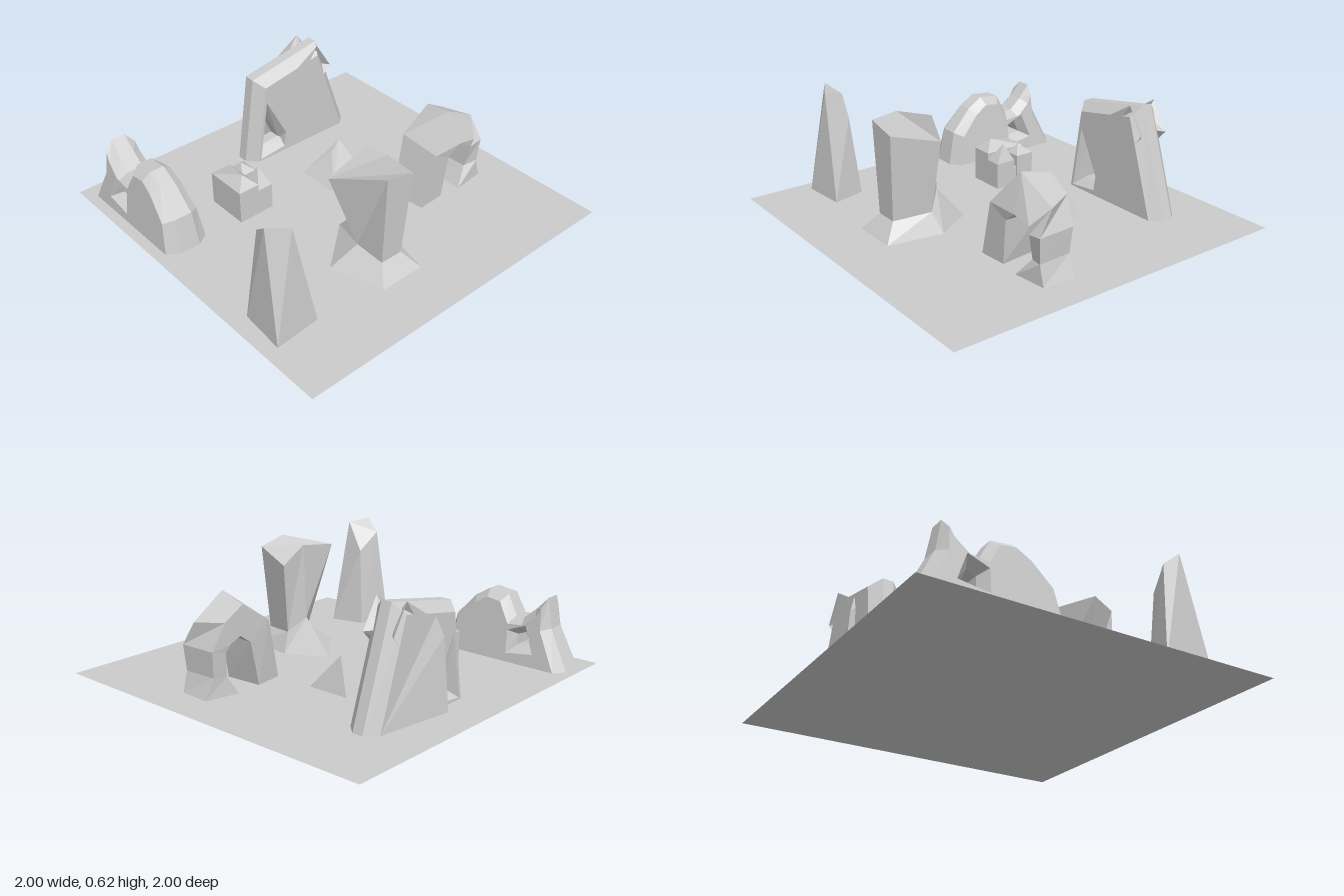
import * as THREE from 'three';
import { ConvexGeometry } from 'three/addons/geometries/ConvexGeometry.js';

const stone = new THREE.MeshStandardMaterial({ color: 0xcccccc, flatShading: true, side: THREE.DoubleSide });

function part(name, geometry) {
  const mesh = new THREE.Mesh(geometry, stone);
  mesh.name = name;
  return mesh;
}

// Faceted boulder wrapped around a few corner points
const hull = (name, pts) => part(name, new ConvexGeometry(pts.map((p) => new THREE.Vector3(...p))));

// Skin over a series of cross-section rings, closed at both ends
function loft(name, rings) {
  const n = rings[0].length, last = (rings.length - 1) * n, index = [];
  for (let i = 0; i < rings.length - 1; i++) {
    for (let j = 0; j < n; j++) {
      const a = i * n + j, b = i * n + (j + 1) % n;
      index.push(a, b, b + n, a, b + n, a + n);
    }
  }
  for (let j = 1; j < n - 1; j++) index.push(0, j + 1, j, last, last + j, last + j + 1);
  const g = new THREE.BufferGeometry();
  g.setAttribute('position', new THREE.Float32BufferAttribute(rings.flat(2), 3));
  g.setIndex(index);
  const flat = g.toNonIndexed();
  flat.computeVertexNormals();
  return part(name, flat);
}

// Bevelled slab, centred in depth, with holes and the foot cut flat at the ground
function slab(outline, holes, depth, bevel, inset) {
  const v = (list) => list.map((p) => new THREE.Vector2(...p));
  const shape = new THREE.Shape(v(outline));
  shape.holes = holes.map((h) => new THREE.Path(v(h)));
  const g = new THREE.ExtrudeGeometry(shape, {
    depth, bevelEnabled: true, bevelSegments: 1, bevelThickness: bevel, bevelSize: inset, bevelOffset: -inset,
  });
  g.translate(0, 0, -depth / 2);
  const p = g.attributes.position;
  for (let i = 0; i < p.count; i++) p.setY(i, Math.max(0, p.getY(i)));
  g.computeVertexNormals();
  return g;
}

export function createModel() {
  const root = new THREE.Group();
  root.name = 'rockField';

  root.add(part('ground', new THREE.PlaneGeometry(2, 2).rotateX(-Math.PI / 2)));

  // Tall narrow spire
  root.add(hull('spire', [
    [-0.9, 0, 0.4], [-0.71, 0, 0.45], [-0.66, 0, 0.64], [-0.92, 0, 0.66],
    [-0.885, 0.625, 0.55], [-0.775, 0.605, 0.61], [-0.86, 0.55, 0.46], [-0.74, 0.446, 0.49],
  ]));

  // Top-heavy pillar: skirt, waist, crown
  root.add(loft('pillar', [
    [[-0.37, 0, 0.4], [-0.28, 0, 0.7], [-0.02, 0, 0.7], [0.03, 0, 0.39], [-0.1, 0, 0.17]],
    [[-0.23, 0.11, 0.45], [-0.22, 0.09, 0.62], [-0.09, 0.09, 0.62], [-0.03, 0.11, 0.42], [-0.1, 0.2, 0.34]],
    [[-0.38, 0.565, 0.4], [-0.22, 0.61, 0.64], [-0.05, 0.57, 0.64], [0.025, 0.51, 0.39], [-0.1, 0.61, 0.36]],
  ]));

  // Arch with a pitched top; each ring is outer back, outer front, inner front, inner back
  root.add(loft('arch', [
    [[0.31, 0, 0.16], [0.33, 0, 0.36], [0.49, 0, 0.35], [0.47, 0, 0.14]],
    [[0.4, 0.34, 0.13], [0.41, 0.31, 0.37], [0.52, 0.25, 0.36], [0.53, 0.25, 0.13]],
    [[0.58, 0.46, 0.13], [0.56, 0.5, 0.3], [0.6, 0.31, 0.37], [0.6, 0.3, 0.13]],
    [[0.7, 0.39, 0.13], [0.77, 0.38, 0.28], [0.71, 0.29, 0.37], [0.67, 0.27, 0.13]],
    [[0.77, 0.25, 0.15], [0.78, 0.25, 0.36], [0.7, 0.24, 0.36], [0.69, 0.23, 0.14]],
    [[0.76, 0.11, 0.16], [0.77, 0.11, 0.35], [0.69, 0.1, 0.33], [0.68, 0.1, 0.15]],
    [[0.81, 0, 0.17], [0.8, 0, 0.35], [0.61, 0, 0.37], [0.62, 0, 0.13]],
  ]));

  // Large leaning wall with two openings and a buttress on each side
  const wall = new THREE.Group();
  wall.name = 'wallRock';
  const wallSlab = slab(
    [[-0.12, -0.06], [0.62, -0.06], [0.42, 0.595], [-0.04, 0.51]],
    [[[0, 0.06], [0.02, 0.3], [0.12, 0.07]], [[0.32, 0.43], [0.38, 0.53], [0.42, 0.45], [0.34, 0.35]]],
    0.06, 0.06, 0.05);
  wall.add(part('wallSlab', wallSlab.translate(0, 0, -0.66)));
  wall.add(hull('frontButtress', [
    [0.12, 0, -0.57], [0.56, 0, -0.57], [0.12, 0, -0.66], [0.58, 0, -0.66],
    [0.18, 0.38, -0.57], [0.31, 0.42, -0.6], [0.34, 0.34, -0.57], [0.18, 0.38, -0.66],
  ]));
  wall.add(hull('backButtress', [
    [0.12, 0, -0.81], [0.13, 0, -0.68], [0.56, 0, -0.75], [0.55, 0, -0.68],
    [0.13, 0.38, -0.78], [0.16, 0.48, -0.75], [0.16, 0.46, -0.68],
  ]));
  root.add(wall);

  // Long jagged ridge, pierced once and narrowing upwards
  const ridge = slab(
    [[-0.95, -0.05], [-0.19, -0.05], [-0.23, 0.19], [-0.35, 0.32], [-0.44, 0.375], [-0.56, 0.36],
      [-0.62, 0.25], [-0.67, 0.25], [-0.74, 0.31], [-0.81, 0.385], [-0.84, 0.22]],
    [[[-0.72, 0.1], [-0.69, 0.17], [-0.64, 0.15], [-0.64, 0.09]]],
    0.12, 0.065, 0.04);
  ridge.rotateY(-Math.PI / 2);
  const p = ridge.attributes.position;
  for (let i = 0; i < p.count; i++) p.setX(i, p.getX(i) * (1 - 0.9 * p.getY(i)));
  ridge.computeVertexNormals();
  root.add(part('ridge', ridge.translate(-0.815, 0, 0)));

  // Cluster of small upright blocks: x range, z range, shoulder height, peak
  const cluster = new THREE.Group();
  cluster.name = 'blockCluster';
  for (const [x0, x1, z0, z1, h, peak] of [
    [-0.485, -0.36, -0.44, -0.19, 0.19, [-0.42, 0.25, -0.25]],
    [-0.36, -0.27, -0.44, -0.33, 0.17, [-0.33, 0.22, -0.38]],
    [-0.36, -0.27, -0.31, -0.19, 0.15, [-0.31, 0.25, -0.26]],
    [-0.36, -0.28, -0.34, -0.3, 0.1, [-0.33, 0.12, -0.32]],
  ]) {
    const corners = [[x0, z0], [x1, z0], [x1, z1], [x0, z1]];
    cluster.add(hull('block', [...corners.flatMap(([x, z]) => [[x, 0, z], [x, h, z]]), peak]));
  }
  root.add(cluster);

  // Low pyramid rock
  root.add(hull('pyramidRock', [
    [0.06, 0, -0.32], [0.31, 0, -0.32], [0.31, 0, -0.07], [0.06, 0, -0.07],
    [0.25, 0.19, -0.23], [0.19, 0.14, -0.22],
  ]));

  return root;
}
